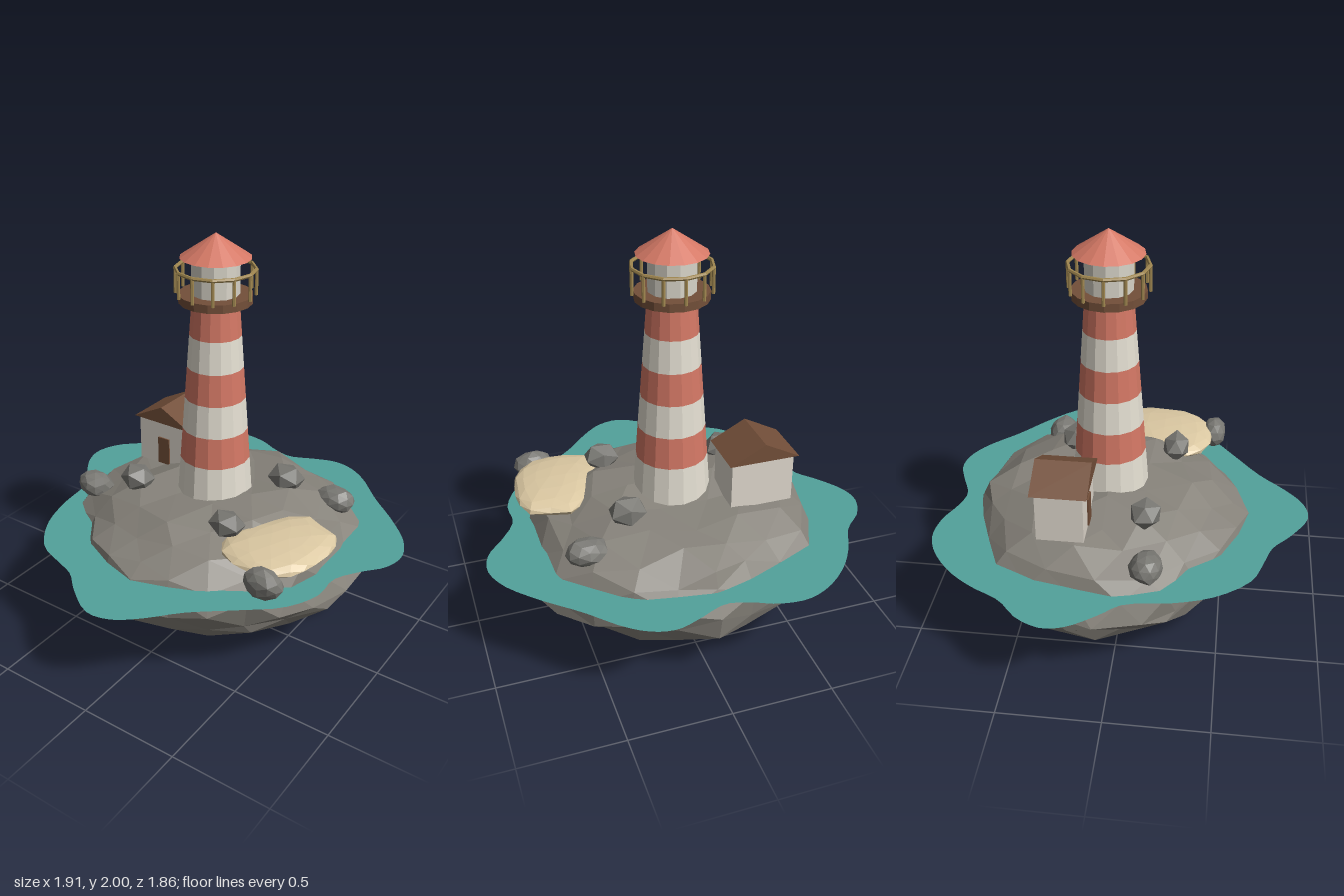
import * as THREE from 'three';

const mat = (name, color, extra = {}) =>
  Object.assign(new THREE.MeshStandardMaterial({ color, flatShading: true, ...extra }), { name });

// Repeatable value in -1..1 for a direction, so shared corners move together
function jitter(v, seed) {
  const q = (n) => Math.round(n * 100);
  const s = Math.sin(q(v.x) * 12.9898 + q(v.y) * 78.233 + q(v.z) * 37.719 + seed * 51.7) * 43758.5453;
  return (s - Math.floor(s)) * 2 - 1;
}

// Outline radius by compass angle, from evenly spaced values
function outline(radii, v) {
  const n = radii.length;
  const a = ((Math.atan2(v.z, v.x) / (Math.PI * 2) + 1) % 1) * n;
  const k = Math.floor(a) % n;
  return THREE.MathUtils.lerp(radii[k], radii[(k + 1) % n], a - Math.floor(a));
}

// Faceted ball whose corners are moved by a rule
function shapedBall(detail, rule) {
  const geo = new THREE.IcosahedronGeometry(1, detail);
  const pos = geo.attributes.position;
  const v = new THREE.Vector3();
  for (let i = 0; i < pos.count; i++) {
    v.fromBufferAttribute(pos, i);
    rule(v);
    pos.setXYZ(i, v.x, v.y, v.z);
  }
  geo.computeVertexNormals();
  return geo;
}

export function createModel() {
  const rock = mat('rock grey', 0x86827a);
  const stone = mat('boulder grey', 0x797873);
  const sand = mat('sand', 0xdbc8a2);
  const water = mat('water teal', 0x52a29b, { side: THREE.DoubleSide });
  const white = mat('tower white', 0xe4dfd2);
  const red = mat('tower red', 0xd47865);
  const wood = mat('wood brown', 0x734f39);
  const brass = mat('railing brass', 0xa08750);
  const plaster = mat('house plaster', 0xe0d9ce);
  const glass = mat('lantern glass', 0xd9d5c9);

  const model = new THREE.Group();
  model.name = 'lighthouseIsland';
  function add(parent, name, geo, material, x = 0, y = 0, z = 0) {
    const mesh = new THREE.Mesh(geo, material);
    mesh.name = name;
    mesh.position.set(x, y, z);
    parent.add(mesh);
    return mesh;
  }

  // Island: domed top, deeper underside drawn to a blunt point
  const islandRadii = [0.76, 0.78, 0.7, 0.67, 0.74, 0.71, 0.66, 0.76, 0.77, 0.73, 0.76, 0.71, 0.72, 0.71, 0.77, 0.77];
  const island = shapedBall(3, (v) => {
    const n = jitter(v, 3);
    const m = jitter(v, 8);
    const h = Math.hypot(v.x, v.z);
    const r = outline(islandRadii, v) * (1 + 0.055 * n);
    const d = Math.abs(v.y);
    const y = v.y > 0 ? 0.38 + 0.33 * d ** 0.75 : 0.38 - 0.31 * d - 0.07 * d ** 6;
    v.set(v.x * r, h < 0.05 ? y : y + 0.026 * m, v.z * r);
  });
  add(model, 'islandRock', island, rock, -0.01, 0, -0.07);

  // Water sheet with a wavy shore
  const shore = [
    [-0.02, 0.925], [0.1, 0.905], [0.21, 0.82], [0.34, 0.68], [0.54, 0.52], [0.69, 0.39], [0.77, 0.23],
    [0.77, 0.08], [0.85, -0.05], [0.93, -0.15], [0.955, -0.27], [0.905, -0.4], [0.77, -0.55], [0.61, -0.69],
    [0.45, -0.85], [0.34, -0.915], [0.24, -0.93], [0.13, -0.895], [-0.01, -0.84], [-0.125, -0.865],
    [-0.23, -0.91], [-0.37, -0.925], [-0.495, -0.88], [-0.63, -0.77], [-0.725, -0.64], [-0.8, -0.495],
    [-0.905, -0.39], [-0.955, -0.27], [-0.935, -0.165], [-0.845, -0.03], [-0.765, 0.07], [-0.73, 0.285],
    [-0.665, 0.48], [-0.535, 0.645], [-0.39, 0.705], [-0.28, 0.745], [-0.18, 0.83],
  ];
  const curve = new THREE.CatmullRomCurve3(shore.map(([x, z]) => new THREE.Vector3(x, -z, 0)), true);
  const sheet = new THREE.ShapeGeometry(new THREE.Shape(curve.getPoints(110).map((p) => new THREE.Vector2(p.x, p.y))));
  add(model, 'water', sheet.rotateX(-Math.PI / 2), water, 0, 0.51, 0);

  // Sand patch
  const sandRadii = [0.22, 0.225, 0.245, 0.265, 0.26, 0.275, 0.295, 0.265, 0.22, 0.205, 0.2, 0.23, 0.28, 0.265, 0.288, 0.25];
  const patch = shapedBall(2, (v) => {
    const r = outline(sandRadii, v) * (1 + 0.03 * jitter(v, 5));
    v.set(v.x * r, v.y * 0.052, v.z * r);
  });
  add(model, 'sandPatch', patch, sand, 0.515, 0.645, 0.15);

  // Boulders: position, size, detail
  [
    [-0.61, 0.61, 0.16, 0.1, 0.065, 0.08, 1],
    [-0.35, 0.72, 0.13, 0.095, 0.078, 0.08, 0],
    [0.28, 0.72, -0.3, 0.1, 0.075, 0.08, 0],
    [0.51, 0.615, -0.41, 0.105, 0.07, 0.078, 1],
    [0.265, 0.715, 0.23, 0.1, 0.075, 0.075, 0],
    [0.59, 0.615, 0.42, 0.1, 0.075, 0.065, 1],
  ].forEach(([x, y, z, sx, sy, sz, detail], i) => {
    const lump = shapedBall(detail, (v) => v.multiplyScalar(1 + 0.07 * jitter(v, i + 11)));
    add(model, 'boulder' + (i + 1), lump, stone, x, y, z).scale.set(sx, sy, sz);
  });

  // Tower of tapering bands
  const tower = new THREE.Group();
  tower.name = 'lighthouse';
  tower.position.set(-0.012, 0, -0.08);
  model.add(tower);
  const radiusAt = (y) => 0.187 - (y - 0.72) * 0.075;
  const levels = [0.66, 0.87, 1.03, 1.195, 1.355, 1.515, 1.685];
  for (let i = 0; i < 6; i++) {
    const [y0, y1] = [levels[i], levels[i + 1]];
    const band = new THREE.CylinderGeometry(radiusAt(y1), radiusAt(y0), y1 - y0, 16, 1, i > 0);
    add(tower, 'towerBand' + (i + 1), band, i % 2 ? red : white, 0, (y0 + y1) / 2, 0);
  }

  // Gallery, lantern room and roof
  add(tower, 'galleryDeck', new THREE.CylinderGeometry(0.176, 0.176, 0.04, 16), wood, 0, 1.695, 0);
  add(tower, 'lanternRoom', new THREE.CylinderGeometry(0.114, 0.114, 0.172, 12), glass, 0, 1.801, 0);
  add(tower, 'lanternRoof', new THREE.ConeGeometry(0.168, 0.113, 16), red, 0, 1.9435, 0);

  // Railing
  const rail = new THREE.TorusGeometry(0.188, 0.009, 6, 12).rotateX(Math.PI / 2);
  add(tower, 'handrail', rail, brass, 0, 1.833, 0);
  const post = new THREE.CylinderGeometry(0.008, 0.008, 0.125, 6);
  for (let i = 0; i < 12; i++) {
    const a = (i / 12) * Math.PI * 2;
    add(tower, 'railPost', post, brass, Math.cos(a) * 0.188, 1.773, Math.sin(a) * 0.188);
  }

  // Keeper's house with a gabled roof
  const house = new THREE.Group();
  house.name = 'house';
  house.position.set(-0.378, 0, -0.252);
  model.add(house);
  add(house, 'houseWalls', new THREE.BoxGeometry(0.315, 0.255, 0.225), plaster, 0, 0.79, 0);
  const gable = new THREE.Shape();
  gable.moveTo(-0.176, 0);
  gable.lineTo(0.176, 0);
  gable.lineTo(0, 0.092);
  gable.closePath();
  const roof = new THREE.ExtrudeGeometry(gable, { depth: 0.268, bevelEnabled: false });
  add(house, 'houseRoof', roof, wood, 0, 0.915, -0.134);
  add(house, 'door', new THREE.BoxGeometry(0.07, 0.15, 0.009), wood, 0, 0.745, 0.116);

  return model;
}
